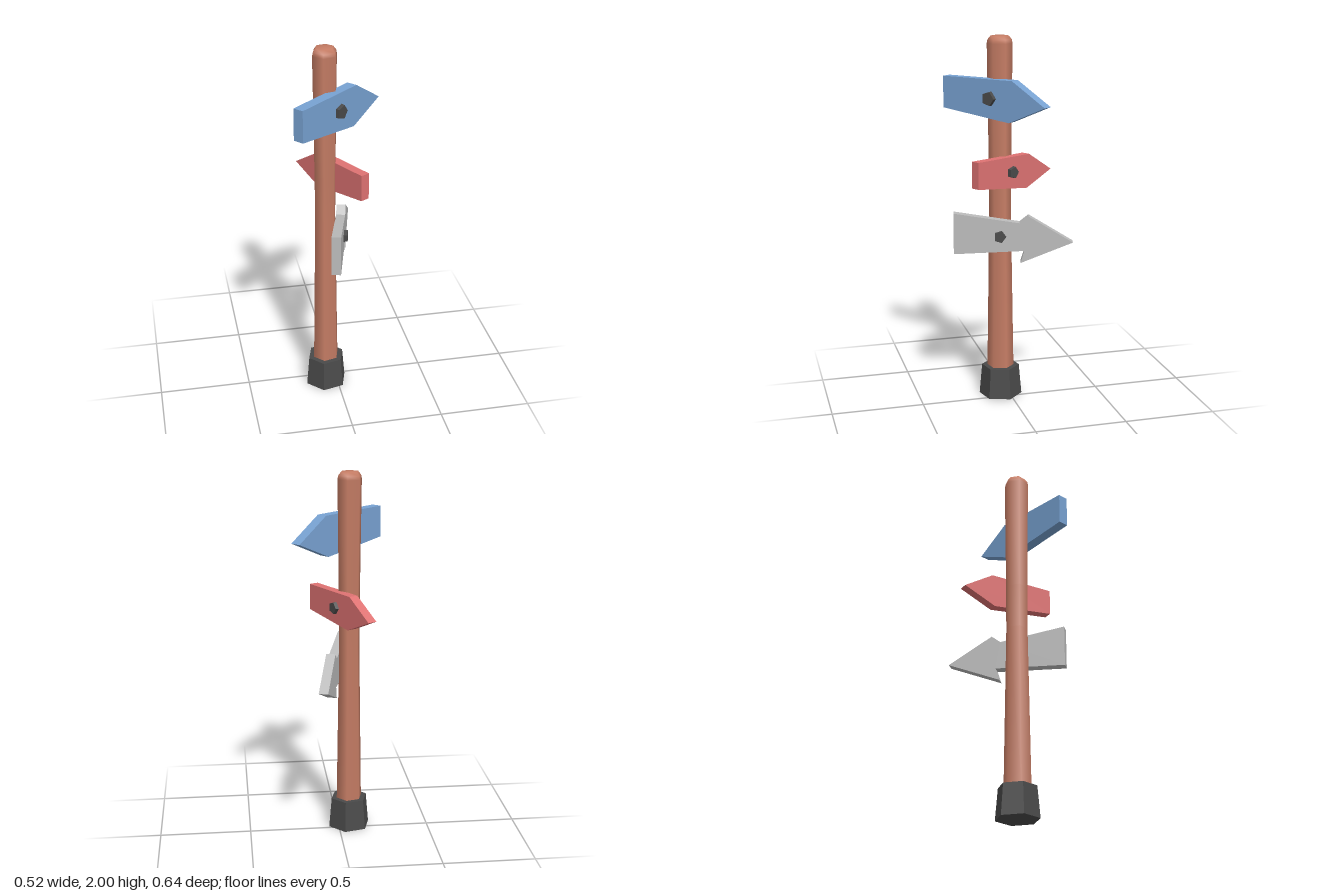
import * as THREE from 'three';

const mat = (name, color, flat = true) => {
  const m = new THREE.MeshStandardMaterial({ color, flatShading: flat });
  m.name = name;
  return m;
};

export function createModel() {
  const wood = mat('wood', 0xc67d65, false);
  const dark = mat('darkMetal', 0x4a4a4a);
  const blue = mat('bluePaint', 0x78a2d2);
  const red = mat('redPaint', 0xde7272);
  const grey = mat('greyPaint', 0xbcbcbc);

  const model = new THREE.Group();
  model.name = 'signpost';
  const add = (parent, name, geometry, material) => {
    const mesh = new THREE.Mesh(geometry, material);
    mesh.name = name;
    parent.add(mesh);
    return mesh;
  };

  // Everything hangs off the axis of the post
  const axis = new THREE.Group();
  axis.name = 'postAxis';
  axis.position.set(-0.06, 0, 0.045);
  model.add(axis);
  const turn = -0.28; // shared twist of the six-sided post and base

  // Six-sided post, waisted, with a bevelled top
  const profile = [[0.074, 0.1], [0.073, 0.17], [0.059, 1.05], [0.06, 1.3], [0.068, 1.96], [0.064, 1.98], [0.048, 2], [0, 2]];
  const post = add(axis, 'post',
    new THREE.LatheGeometry(profile.map(([r, y]) => new THREE.Vector2(r, y)), 6), wood);
  post.rotation.y = turn;

  // Tapered base
  const base = add(axis, 'base', new THREE.CylinderGeometry(0.103, 0.118, 0.17, 6), dark);
  base.position.y = 0.085;
  base.rotation.y = turn;

  // A board: outline in (along, up), pointing to local +x, with its nail on the post axis
  function addSign({ name, outline, size, y, angle, shift, out, depth, nailY, nailR, material }) {
    const sign = new THREE.Group();
    sign.name = name;
    sign.position.y = y;
    sign.rotation.y = angle;
    axis.add(sign);

    const shape = new THREE.Shape(outline.map(([u, v]) => new THREE.Vector2(u * size, v * size)));
    const board = add(sign, name + 'Board',
      new THREE.ExtrudeGeometry(shape, { depth, bevelEnabled: false }), material);
    board.position.set(shift, 0, out - depth / 2);

    // Five-sided nail head, one corner towards the tip
    const nail = add(sign, name + 'Nail',
      new THREE.CylinderGeometry(nailR * 0.9, nailR, 0.04, 5).rotateY(Math.PI / 2).rotateX(Math.PI / 2), dark);
    nail.position.set(0, nailY, out + depth / 2);
  }

  // Outlines measured down from the top edge of each board
  const pointed = [[-0.32, -0.17], [0.1, -0.22], [0.32, -0.125], [0.12, 0], [-0.32, 0]];
  const arrow = [[-0.32, -0.225], [0.06, -0.207], [0.039, -0.275], [0.322, -0.16],
    [0.082, -0.015], [0.034, -0.053], [-0.32, 0]];

  addSign({ name: 'blueSign', outline: pointed, size: 1, y: 1.78, angle: 0.729, shift: 0.02,
    out: 0.068, depth: 0.058, nailY: -0.1, nailR: 0.043, material: blue });
  addSign({ name: 'redSign', outline: pointed, size: 0.84, y: 1.367, angle: 2.08, shift: 0.028,
    out: 0.067, depth: 0.051, nailY: -0.083, nailR: 0.036, material: red });
  addSign({ name: 'greySign', outline: arrow, size: 1, y: 1.065, angle: 1.309, shift: 0.071,
    out: 0.076, depth: 0.05, nailY: -0.127, nailR: 0.036, material: grey });

  return model;
}
